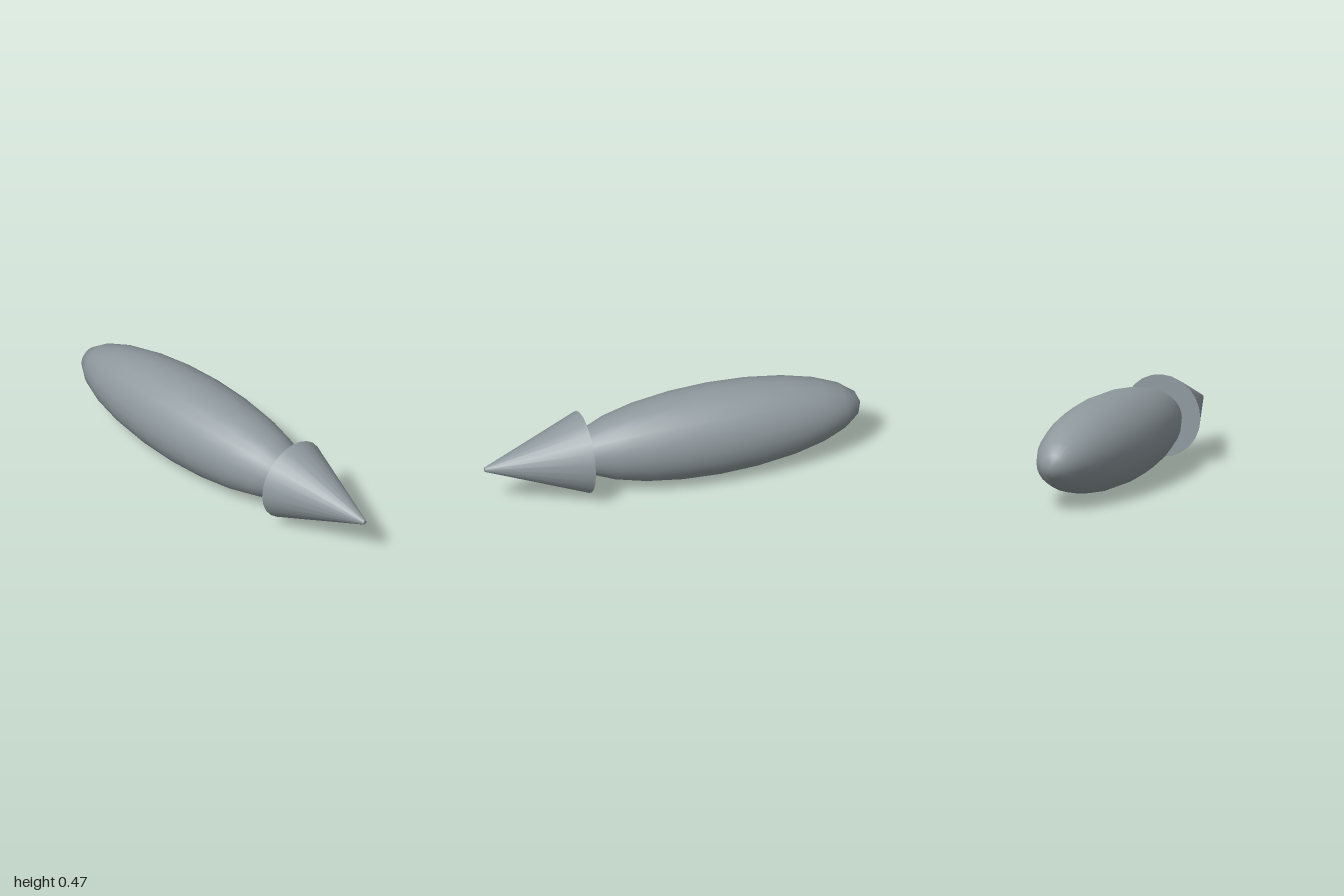
import * as THREE from 'three';

export function createModel() {
  const model = new THREE.Group();
  const grey = new THREE.MeshStandardMaterial({ color: 0x8f999e });
  grey.name = 'blue grey';

  const axisY = 0.237;
  const sides = 24;

  const addPart = (name, geometry, z) => {
    const mesh = new THREE.Mesh(geometry, grey);
    mesh.name = name;
    mesh.position.set(0, axisY, z);
    model.add(mesh);
  };

  // Long ellipsoid body, poles on the z axis
  const body = new THREE.SphereGeometry(1, sides, 12);
  body.rotateX(Math.PI / 2);
  body.scale(0.236, 0.236, 0.78);
  addPart('body', body, -0.22);

  // Nose cone with a tiny blunt tip and a flat overhanging base
  const noseBack = 0.475, noseFront = 1;
  const nose = new THREE.CylinderGeometry(0.011, 0.212, noseFront - noseBack, sides);
  nose.rotateX(Math.PI / 2);
  addPart('noseCone', nose, (noseBack + noseFront) / 2);

  return model;
}
